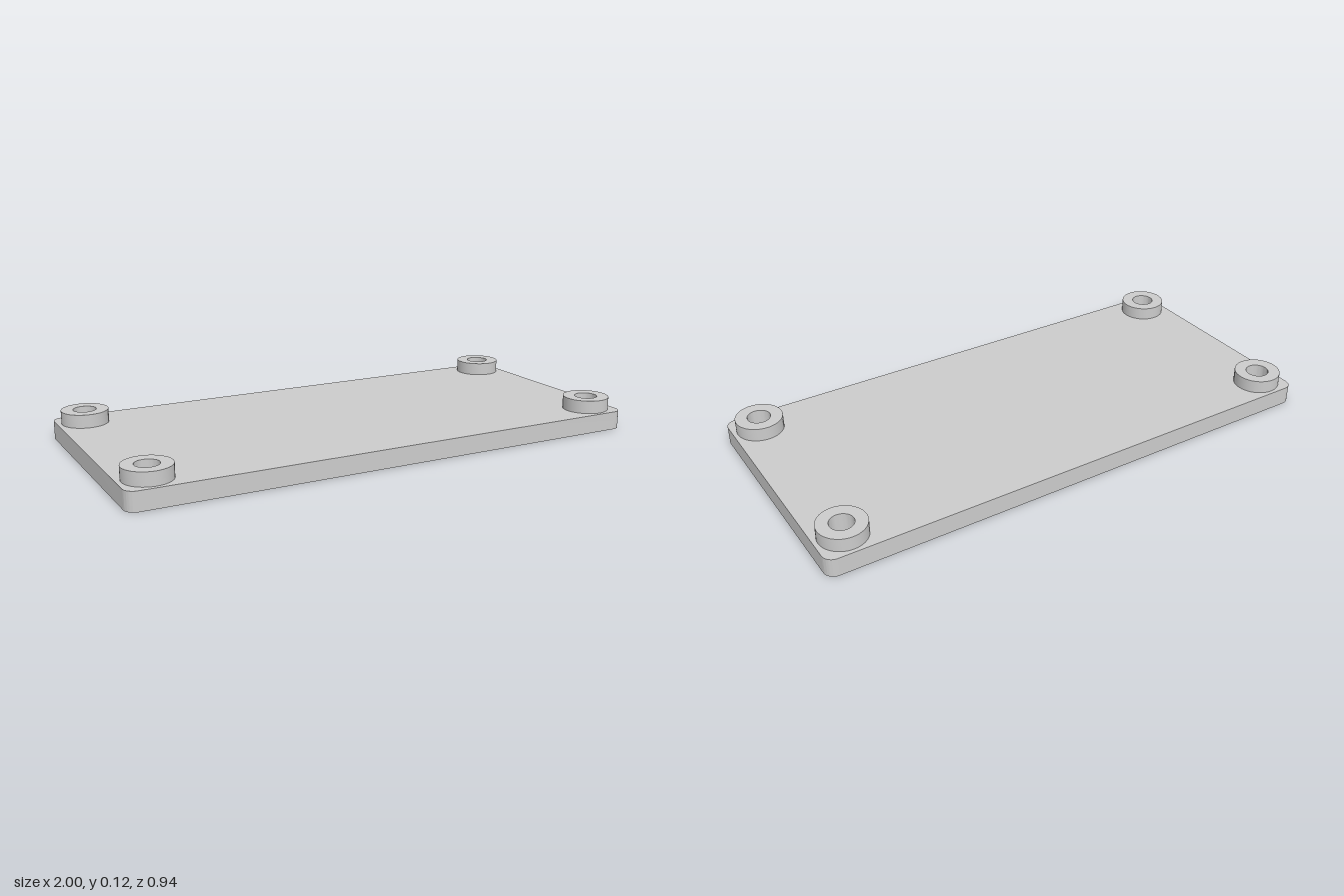
import * as THREE from 'three';
import { toCreasedNormals } from 'three/addons/utils/BufferGeometryUtils.js';

const WIDTH = 2, DEPTH = 0.94, CORNER = 0.04;
const PLATE_H = 0.07, TOP = 0.12;
const HOLE_R = 0.043, BOSS_R = 0.0875;
const HOLE_X = 0.897, HOLE_Z = 0.368;

// Rectangle with rounded corners, centred on the origin
function roundedRect(w, d, r) {
  const x = w / 2 - r, y = d / 2 - r;
  const shape = new THREE.Shape();
  shape.absarc(x, y, r, 0, Math.PI / 2);
  shape.absarc(-x, y, r, Math.PI / 2, Math.PI);
  shape.absarc(-x, -y, r, Math.PI, Math.PI * 1.5);
  shape.absarc(x, -y, r, Math.PI * 1.5, Math.PI * 2);
  shape.closePath();
  return shape;
}

export function createModel() {
  const group = new THREE.Group();
  group.name = 'mountingPlate';
  const material = new THREE.MeshStandardMaterial({ color: 0xcccccc });

  const corners = [];
  for (const sx of [-1, 1]) for (const sz of [-1, 1]) corners.push([sx * HOLE_X, sz * HOLE_Z]);

  // Base plate with four through holes
  const outline = roundedRect(WIDTH, DEPTH, CORNER);
  for (const [x, z] of corners) {
    outline.holes.push(new THREE.Path().absarc(x, -z, HOLE_R, 0, Math.PI * 2, true));
  }
  const plateGeometry = new THREE.ExtrudeGeometry(outline, {
    depth: PLATE_H, bevelEnabled: false, curveSegments: 24,
  });
  plateGeometry.rotateX(-Math.PI / 2);
  const plate = new THREE.Mesh(toCreasedNormals(plateGeometry, 0.6), material);
  plate.name = 'basePlate';
  group.add(plate);

  // Ring-shaped standoff: outer wall, top face, bore
  const profile = [[BOSS_R, PLATE_H], [BOSS_R, TOP], [HOLE_R, TOP], [HOLE_R, PLATE_H]]
    .map(([r, y]) => new THREE.Vector2(r, y));
  const bossGeometry = toCreasedNormals(new THREE.LatheGeometry(profile, 48), 0.6);
  for (const [x, z] of corners) {
    const boss = new THREE.Mesh(bossGeometry, material);
    boss.name = (z > 0 ? 'front' : 'back') + (x > 0 ? 'Left' : 'Right') + 'Standoff';
    boss.position.set(x, 0, z);
    group.add(boss);
  }
  return group;
}
